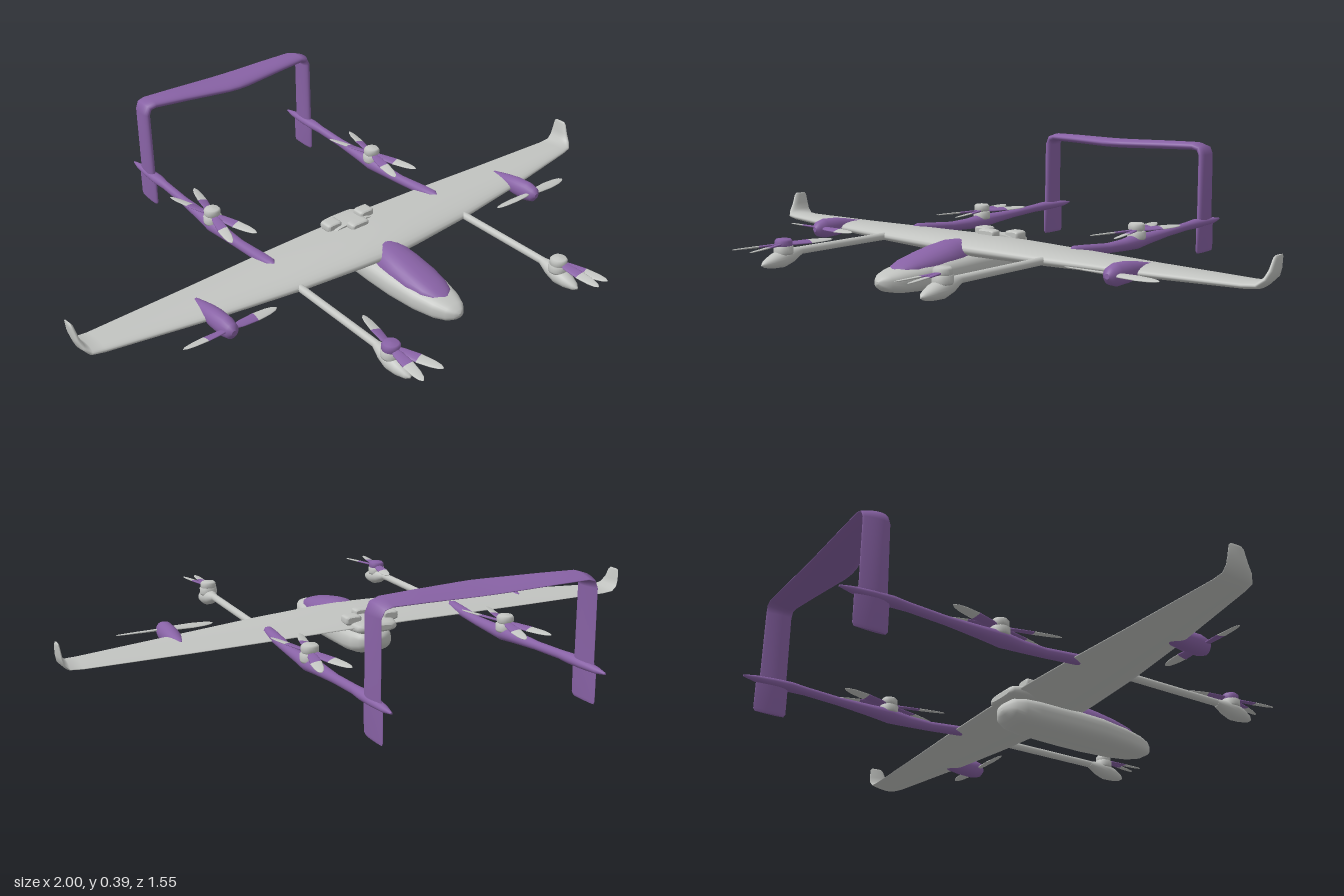
import * as THREE from 'three';

const grey = new THREE.MeshStandardMaterial({ color: 0xc2c4c1 });
grey.name = 'light grey';
const purple = new THREE.MeshStandardMaterial({ color: 0x8862a5 });
purple.name = 'purple';

// Skin a list of closed rings, cap both ends and make the faces point outward
function loft(rings) {
  const n = rings[0].length, pos = [], idx = [];
  rings.forEach(r => r.forEach(p => pos.push(...p)));
  for (let i = 0; i < rings.length - 1; i++) {
    for (let j = 0; j < n; j++) {
      const a = i * n + j, b = i * n + (j + 1) % n;
      idx.push(a, b, a + n, b, b + n, a + n);
    }
  }
  [rings[0], rings[rings.length - 1]].forEach((ring, end) => {
    const base = pos.length / 3;
    ring.forEach(p => pos.push(...p));
    pos.push(...[0, 1, 2].map(k => ring.reduce((s, p) => s + p[k], 0) / n));
    for (let j = 0; j < n; j++) {
      const a = base + j, b = base + (j + 1) % n;
      idx.push(...(end ? [a, b, base + n] : [b, a, base + n]));
    }
  });
  const at = i => new THREE.Vector3(pos[3 * i], pos[3 * i + 1], pos[3 * i + 2]);
  let volume = 0;
  for (let i = 0; i < idx.length; i += 3) volume += at(idx[i]).dot(at(idx[i + 1]).cross(at(idx[i + 2])));
  if (volume < 0) idx.reverse();
  const g = new THREE.BufferGeometry();
  g.setAttribute('position', new THREE.Float32BufferAttribute(pos, 3));
  g.setIndex(idx);
  g.computeVertexNormals();
  return g;
}

// Body along z: sections are [z, centre y, half width, half height]; power < 1 squares it off
function body(sections, power = 1, n = 24) {
  const sp = v => Math.sign(v) * Math.abs(v) ** power;
  return loft(sections.map(([z, y, rx, ry = rx]) => Array.from({ length: n }, (_, j) => {
    const t = j / n * Math.PI * 2;
    return [rx * sp(Math.cos(t)), y + ry * sp(Math.sin(t)), z];
  })));
}

// Mirrored aerofoil surface: half sections are [x, y, front z, back z, thickness, bend angle]
function aerofoil(half, n = 28) {
  const ring = ([x, y, front, back, thick, angle], side) => Array.from({ length: n }, (_, j) => {
    const t = j / n * Math.PI * 2, c = (1 + Math.cos(t)) / 2;
    const h = Math.sin(t) * thick * 0.5 * (0.25 + 0.95 * c ** 0.7);
    return [side * (x - Math.sin(angle) * h), y + Math.cos(angle) * h, back + (front - back) * c];
  });
  return loft([...half.slice(1).reverse().map(s => ring(s, -1)), ...half.map(s => ring(s, 1))]);
}

export function createModel() {
  const model = new THREE.Group();
  model.name = 'aircraft';
  const add = (name, geometry, material, x = 0, y = 0, z = 0, parent = model) => {
    const m = new THREE.Mesh(geometry, material);
    m.name = name;
    m.position.set(x, y, z);
    parent.add(m);
    return m;
  };

  // Wing with upturned tips
  add('wing', aerofoil([
    [0, 0.109, 0.24, -0.033, 0.062, 0],
    [0.12, 0.109, 0.232, -0.033, 0.06, 0],
    [0.34, 0.106, 0.208, -0.03, 0.05, 0],
    [0.6, 0.102, 0.165, -0.022, 0.038, 0],
    [0.93, 0.099, 0.1, -0.012, 0.027, 0],
    [0.968, 0.102, 0.092, -0.012, 0.024, 0.4],
    [0.984, 0.118, 0.075, -0.013, 0.02, 1.1],
    [0.99, 0.14, 0.058, -0.012, 0.018, 1.35],
    [0.994, 0.172, 0.044, -0.008, 0.014, 1.4],
    [0.995, 0.179, 0.036, -0.002, 0.006, 1.4],
  ]), grey);

  // Fuselage and canopy
  add('fuselage', body([
    [0.537, 0.046, 0.004, 0.004], [0.53, 0.045, 0.02, 0.016], [0.51, 0.044, 0.038, 0.027],
    [0.47, 0.044, 0.056, 0.036], [0.4, 0.046, 0.073, 0.042], [0.3, 0.05, 0.084, 0.047],
    [0.2, 0.052, 0.085, 0.048], [0.05, 0.053, 0.08, 0.046], [0, 0.055, 0.074, 0.042],
    [-0.03, 0.058, 0.06, 0.034], [-0.047, 0.06, 0.035, 0.02], [-0.051, 0.061, 0.006, 0.005],
  ], 0.75, 32), grey);
  add('canopy', body([
    [0.475, 0.073, 0.012, 0.006], [0.455, 0.072, 0.037, 0.017], [0.42, 0.072, 0.053, 0.029],
    [0.36, 0.072, 0.064, 0.043], [0.29, 0.072, 0.067, 0.057], [0.24, 0.074, 0.064, 0.062],
    [0.19, 0.076, 0.056, 0.058],
  ], 0.9), purple);

  // Rear fairing and the small fittings on top
  add('rearFairing', body([
    [-0.056, 0.106, 0.05, 0.008], [-0.048, 0.107, 0.07, 0.016], [-0.01, 0.109, 0.08, 0.02],
    [0.04, 0.11, 0.08, 0.022],
  ], 0.6), grey);
  for (const s of [-1, 1]) {
    add('topSensor', body([
      [-0.022, 0.13, 0.02, 0.01], [-0.017, 0.13, 0.028, 0.015],
      [0.017, 0.13, 0.028, 0.015], [0.022, 0.13, 0.02, 0.01],
    ], 0.5), grey, s * 0.066, 0, 0.005);
  }
  add('topLatch', body([[0.04, 0.135, 0.028, 0.008], [0.045, 0.135, 0.034, 0.013],
    [0.07, 0.135, 0.034, 0.013], [0.075, 0.135, 0.028, 0.008]], 0.5), grey);

  // Tail arch: two fins joined by a swept top plane
  add('tailArch', aerofoil([
    [0, 0.38, -0.59, -0.727, 0.034, 0],
    [0.04, 0.38, -0.593, -0.727, 0.034, 0],
    [0.2, 0.383, -0.62, -0.727, 0.032, 0],
    [0.305, 0.384, -0.637, -0.727, 0.03, 0],
    [0.327, 0.377, -0.64, -0.726, 0.03, -0.7],
    [0.337, 0.355, -0.64, -0.724, 0.028, -1.5],
    [0.338, 0.14, -0.637, -0.724, 0.026, -1.57],
    [0.338, 0.11, -0.63, -0.735, 0.024, -1.57],
    [0.338, 0.025, -0.63, -0.735, 0.018, -1.57],
    [0.338, 0.016, -0.636, -0.73, 0.01, -1.57],
  ]), purple);

  // Propeller blade: a purple root and a grey tip, turned about y
  const root = body([[0.008, 0, 0.007, 0.005], [0.04, 0, 0.014, 0.004], [0.1, 0, 0.017, 0.0032]], 1, 12);
  const tip = body([[0.1, 0, 0.017, 0.0032], [0.15, 0, 0.014, 0.0025],
    [0.176, 0, 0.009, 0.002], [0.188, 0, 0.002, 0.001]], 1, 12);
  function propeller(name, x, y, z, length, angles, rootMaterial = purple) {
    const prop = new THREE.Group();
    prop.name = name;
    prop.position.set(x, y, z);
    for (const angle of angles) {
      const blade = new THREE.Group();
      blade.name = 'blade';
      blade.rotation.set(0, angle, 0.22);
      blade.scale.z = length / 0.188;
      add('bladeRoot', root, rootMaterial, 0, 0, 0, blade);
      add('bladeTip', tip, grey, 0, 0, 0, blade);
      prop.add(blade);
    }
    model.add(prop);
  }
  const lathe = pts => new THREE.LatheGeometry(pts.map(p => new THREE.Vector2(...p)), 24);
  const motor = lathe([[0, -0.03], [0.028, -0.03], [0.03, -0.024], [0.03, -0.006], [0.022, -0.002], [0, -0.002]]);
  const cap = lathe([[0, -0.004], [0.022, -0.004], [0.027, 0.002], [0.027, 0.016], [0.022, 0.022], [0, 0.024]]);

  for (const s of [-1, 1]) {
    const x = s * 0.336;
    // Front boom with its pod and lift motor
    add('frontBoom', body([[0.12, 0.106, 0.012], [0.58, 0.105, 0.012]]), grey, x);
    add('frontPod', body([
      [0.692, 0.078, 0.003], [0.68, 0.08, 0.014, 0.012], [0.65, 0.085, 0.025, 0.022],
      [0.615, 0.09, 0.029, 0.028], [0.58, 0.096, 0.023, 0.023], [0.545, 0.104, 0.012],
    ]), grey, x);
    add('frontMotor', motor, grey, x, 0.132, 0.61);
    add('frontMotorCap', cap, s < 0 ? purple : grey, x, 0.126, 0.61);
    propeller('frontPropeller', x, 0.132, 0.61, 0.165, s < 0 ? [2.93, -0.17, 0.3] : [0.22, -0.05]);

    // Rear boom with its lift motor
    add('rearBoom', body([
      [0.065, 0.121, 0.004], [0.045, 0.119, 0.016, 0.012], [0, 0.112, 0.019, 0.016],
      [-0.12, 0.102, 0.016], [-0.2, 0.101, 0.019], [-0.27, 0.104, 0.027, 0.024],
      [-0.34, 0.107, 0.021, 0.019], [-0.45, 0.112, 0.014], [-0.57, 0.119, 0.014],
      [-0.62, 0.121, 0.019, 0.016], [-0.68, 0.121, 0.017, 0.014], [-0.74, 0.121, 0.011, 0.01],
      [-0.778, 0.122, 0.003],
    ]), purple, x);
    add('rearMotor', motor, grey, x, 0.142, -0.275);
    add('rearMotorCap', cap, grey, x, 0.142, -0.275);
    propeller('rearPropeller', x, 0.14, -0.275, 0.188, [-0.25, 0.25, Math.PI - 0.25, Math.PI + 0.25]);

    // Wing motor nacelle and its forward propeller
    add('wingNacelle', body([
      [0.06, 0.107, 0.012, 0.01], [0.13, 0.106, 0.025], [0.17, 0.106, 0.028, 0.031],
      [0.222, 0.106, 0.027, 0.033], [0.25, 0.106, 0.022, 0.025], [0.262, 0.106, 0.008],
    ]), purple, s * 0.615);
    propeller('wingPropeller', s * 0.61, 0.109, 0.238, 0.158, [Math.PI / 2, -Math.PI / 2], s < 0 ? purple : grey);
  }
  return model;
}
